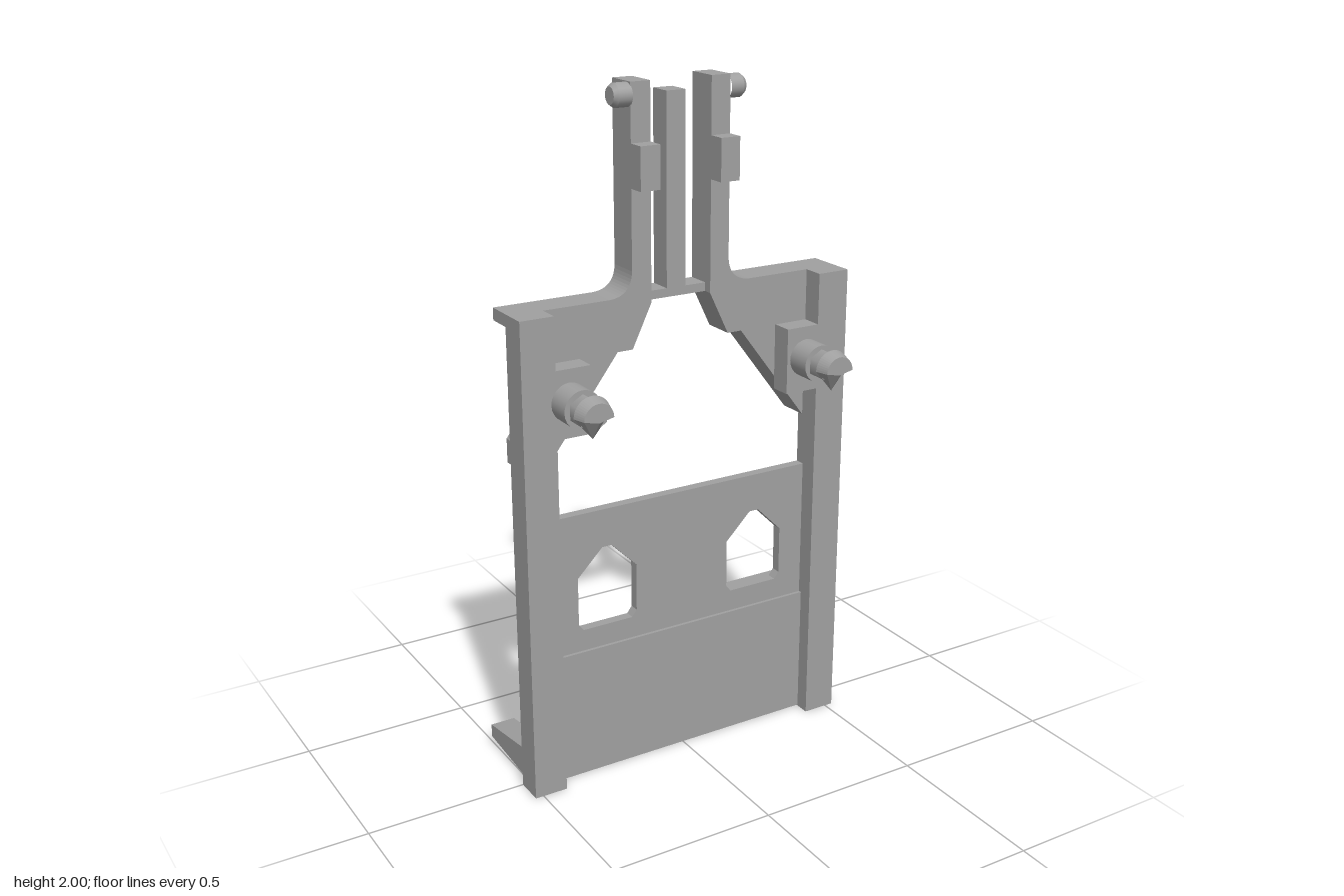
import * as THREE from 'three';

export function createModel() {
  const model = new THREE.Group();
  const grey = new THREE.MeshStandardMaterial({ color: 0xa0a0a0 });
  grey.name = 'grey';

  const add = (name, geo) => {
    const mesh = new THREE.Mesh(geo, grey);
    mesh.name = name;
    model.add(mesh);
    return mesh;
  };
  const box = (name, x0, x1, y0, y1, z0, z1) =>
    add(name, new THREE.BoxGeometry(Math.abs(x1 - x0), y1 - y0, z1 - z0)
      .translate((x0 + x1) / 2, (y0 + y1) / 2, (z0 + z1) / 2));
  const polygon = (pts, s = 1) => new THREE.Shape(pts.map(([x, y]) => new THREE.Vector2(x * s, y)));
  const extrude = (shape, z0, z1) =>
    new THREE.ExtrudeGeometry(shape, { depth: z1 - z0, bevelEnabled: false, curveSegments: 12 }).translate(0, 0, z0);
  // Profile given as (z, y), extruded along x
  const sideProfile = (name, pts, x0, x1) =>
    add(name, extrude(polygon(pts), 0, x1 - x0).rotateY(-Math.PI / 2).translate(x1, 0, 0));

  // Upper panel with two pointed windows
  const panel = polygon([[-0.425, 0.39], [0.425, 0.39], [0.425, 0.825], [-0.425, 0.825]]);
  for (const s of [-1, 1]) {
    panel.holes.push(polygon([[0.17, 0.465], [0.33, 0.465], [0.345, 0.485], [0.345, 0.63],
      [0.265, 0.71], [0.235, 0.71], [0.155, 0.63], [0.155, 0.485]], s));
  }
  add('windowPanel', extrude(panel, 0, 0.03));
  box('lowerPanel', -0.425, 0.425, 0.003, 0.4, -0.005, 0.04);
  sideProfile('panelHook', [[0, 0.52], [0, 0.62], [-0.035, 0.585], [-0.035, 0.555]], -0.1, -0.04);

  // Centre bar and the bridge it stands on
  box('bridge', -0.1, 0.1, 1.4, 1.425, -0.075, -0.005);
  box('centreBar', -0.03, 0.03, 1.41, 1.965, -0.075, -0.005);

  for (const s of [-1, 1]) {
    // Side rails and top caps
    box('sideRail', s * 0.425, s * 0.525, 0, 1.425, 0, 0.085);
    box('railCap', s * 0.425, s * 0.525, 1.39, 1.425, -0.075, 0);

    // Shoulder and prong joined by a fillet
    const arm = new THREE.Shape();
    arm.moveTo(s * 0.095, 2);
    arm.lineTo(s * 0.155, 2);
    arm.lineTo(s * 0.155, 1.495);
    arm.quadraticCurveTo(s * 0.158, 1.428, s * 0.225, 1.425);
    arm.lineTo(s * 0.425, 1.425);
    arm.lineTo(s * 0.425, 1.275);
    arm.lineTo(s * 0.155, 1.275);
    arm.lineTo(s * 0.095, 1.4);
    add('shoulderAndProng', extrude(arm, -0.075, 0.022));
    box('prongBump', s * 0.095, s * 0.155, 1.72, 1.84, 0.02, 0.073);

    // Diagonal brace, with its outer end behind the rail
    add('braceFront', extrude(polygon([[0.2, 1.276], [0.425, 0.98], [0.425, 1.1], [0.32, 1.276]], s), 0, 0.02));
    add('braceBack', extrude(polygon([[0.2, 1.276], [0.425, 0.98], [0.5, 0.98], [0.5, 1.05], [0.325, 1.276]], s), -0.075, 0));

    // Pad carrying the front peg
    box('pegPad', s * 0.32, s * 0.425, 1.08, 1.275, 0.02, 0.085);

    // Front peg: collar, six-sided neck, snap head
    const px = s * 0.385, py = 1.182;
    add('pegCollar', new THREE.CylinderGeometry(0.055, 0.055, 0.08, 24).rotateX(Math.PI / 2).translate(px, py, 0.12));
    add('pegNeck', new THREE.CylinderGeometry(0.044, 0.044, 0.07, 6).rotateX(Math.PI / 2).translate(px, py, 0.185));
    const head = new THREE.Shape();
    head.moveTo(0.055, 0);
    head.absarc(0, 0, 0.055, 0, Math.PI, false);
    head.lineTo(0, -0.065);
    const headGeo = extrude(head, 0.212, 0.25);
    const hp = headGeo.attributes.position;
    for (let i = 0; i < hp.count; i++) {
      if (hp.getZ(i) < 0.24) continue;
      hp.setX(i, hp.getX(i) * 0.8);
      hp.setY(i, hp.getY(i) * (hp.getY(i) < 0 ? 0.15 : 0.8));
    }
    headGeo.computeVertexNormals();
    add('pegHead', headGeo.translate(px, py, 0));

    // Pivot pin at the prong top, with a bevelled end
    const pin = new THREE.LatheGeometry([[0.033, 0], [0.033, 0.04], [0.033, 0.04], [0.024, 0.052], [0.024, 0.052], [0, 0.052]]
      .map(([r, y]) => new THREE.Vector2(r, y)), 20);
    add('pivotPin', pin.rotateZ(-s * Math.PI / 2).translate(s * 0.153, 1.965, 0));

    // Tapered foot behind each rail
    sideProfile('rearFoot', [[0, 0.005], [0, 0.105], [-0.255, 0.065], [-0.255, 0.025]],
      s > 0 ? 0.43 : -0.505, s > 0 ? 0.505 : -0.43);
  }

  // Rear block: solid front part and a rear part with a blind hole
  sideProfile('blockBody', [[0, 0.005], [0, 0.28], [-0.07, 0.345], [-0.135, 0.345], [-0.135, 0.07], [-0.07, 0.005]], 0.31, 0.51);
  const rear = polygon([[0.31, 0.17], [0.51, 0.17], [0.51, 0.345], [0.31, 0.345]]);
  rear.holes.push(new THREE.Path().absarc(0.41, 0.255, 0.033, 0, Math.PI * 2, true));
  const rearGeo = extrude(rear, -0.235, -0.135);
  const rp = rearGeo.attributes.position;
  for (let i = 0; i < rp.count; i++) {
    if (rp.getZ(i) > -0.2 && rp.getY(i) < 0.18) rp.setY(i, 0.07);
  }
  rearGeo.computeVertexNormals();
  add('blockRear', rearGeo);

  return model;
}
